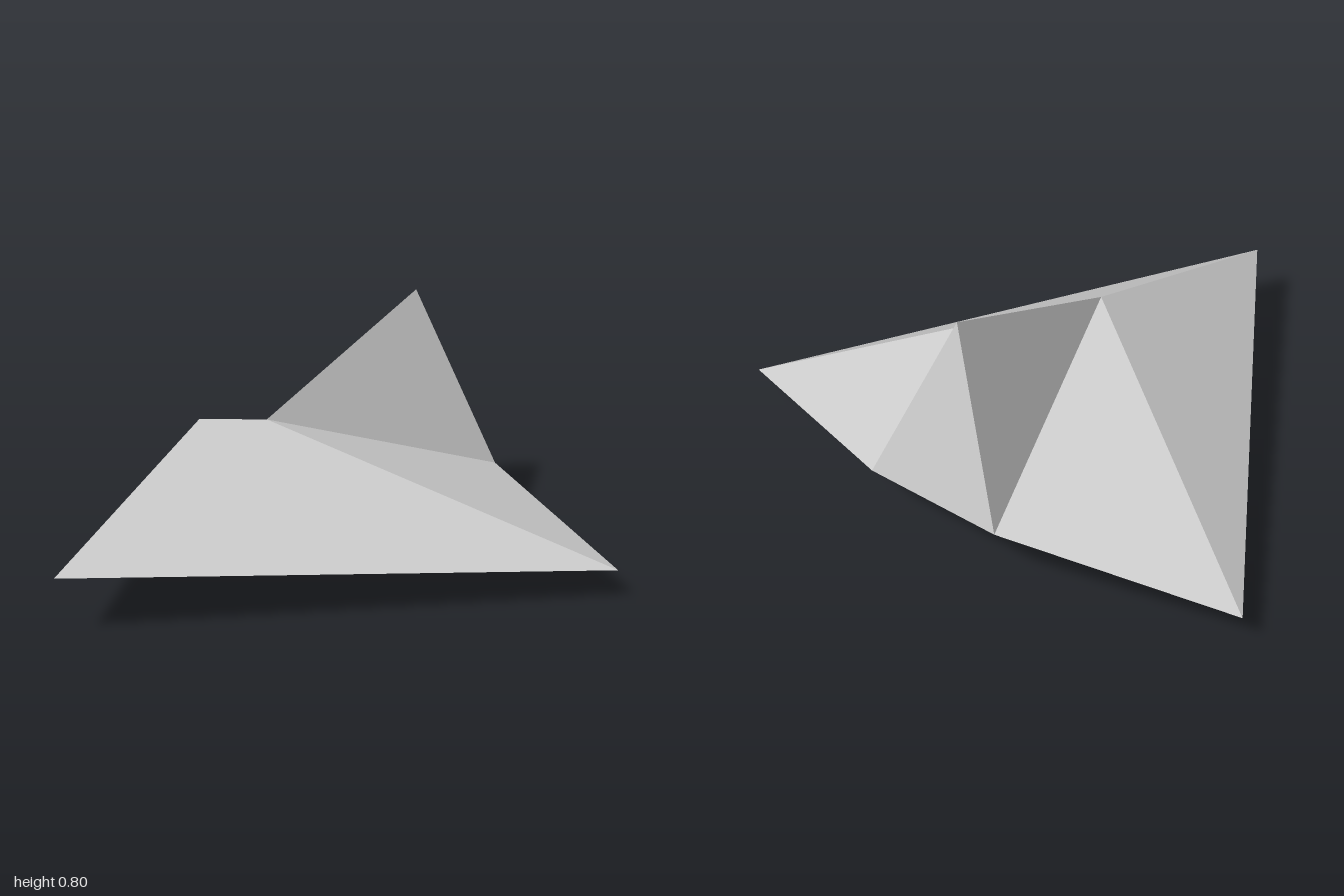
import * as THREE from 'three';

// Corner points; those off the centre line lie on the left (+x) side
const nose = [0, 0.2, 0.875];
const ridge = [0, 0.5, -0.025];
const keel = [0, 0, -0.125];
const wingTip = [1, 0.1, -0.625];
const tailCorner = [0.25, 0.2, -0.875];
const tailMiddle = [0, 0.2, -0.875];
const finTop = [0, 0.8, -0.725];

// Builds flat triangles for the left side and mirrors them to the right
function mirroredFacets(name, triangles, material) {
  const positions = [];
  for (const [a, b, c] of triangles) {
    positions.push(...a, ...b, ...c);
    for (const [x, y, z] of [a, c, b]) positions.push(-x, y, z);
  }
  const geometry = new THREE.BufferGeometry();
  geometry.setAttribute('position', new THREE.Float32BufferAttribute(positions, 3));
  geometry.computeVertexNormals();
  const mesh = new THREE.Mesh(geometry, material);
  mesh.name = name;
  return mesh;
}

export function createModel() {
  const grey = new THREE.MeshStandardMaterial({ color: 0xcccccc });
  grey.name = 'light grey';

  const model = new THREE.Group();
  model.name = 'gliderCraft';

  // Upper hull: long front slopes and rear wing decks
  model.add(mirroredFacets('upperHull', [
    [nose, wingTip, ridge],
    [ridge, wingTip, tailCorner],
  ], grey));

  // Underside fanning out from the keel point
  model.add(mirroredFacets('underside', [
    [nose, keel, wingTip],
    [keel, tailCorner, wingTip],
    [keel, tailMiddle, tailCorner],
  ], grey));

  // Tail fin: two sides and a back face
  model.add(mirroredFacets('tailFin', [
    [ridge, tailCorner, finTop],
    [tailCorner, tailMiddle, finTop],
  ], grey));

  return model;
}
